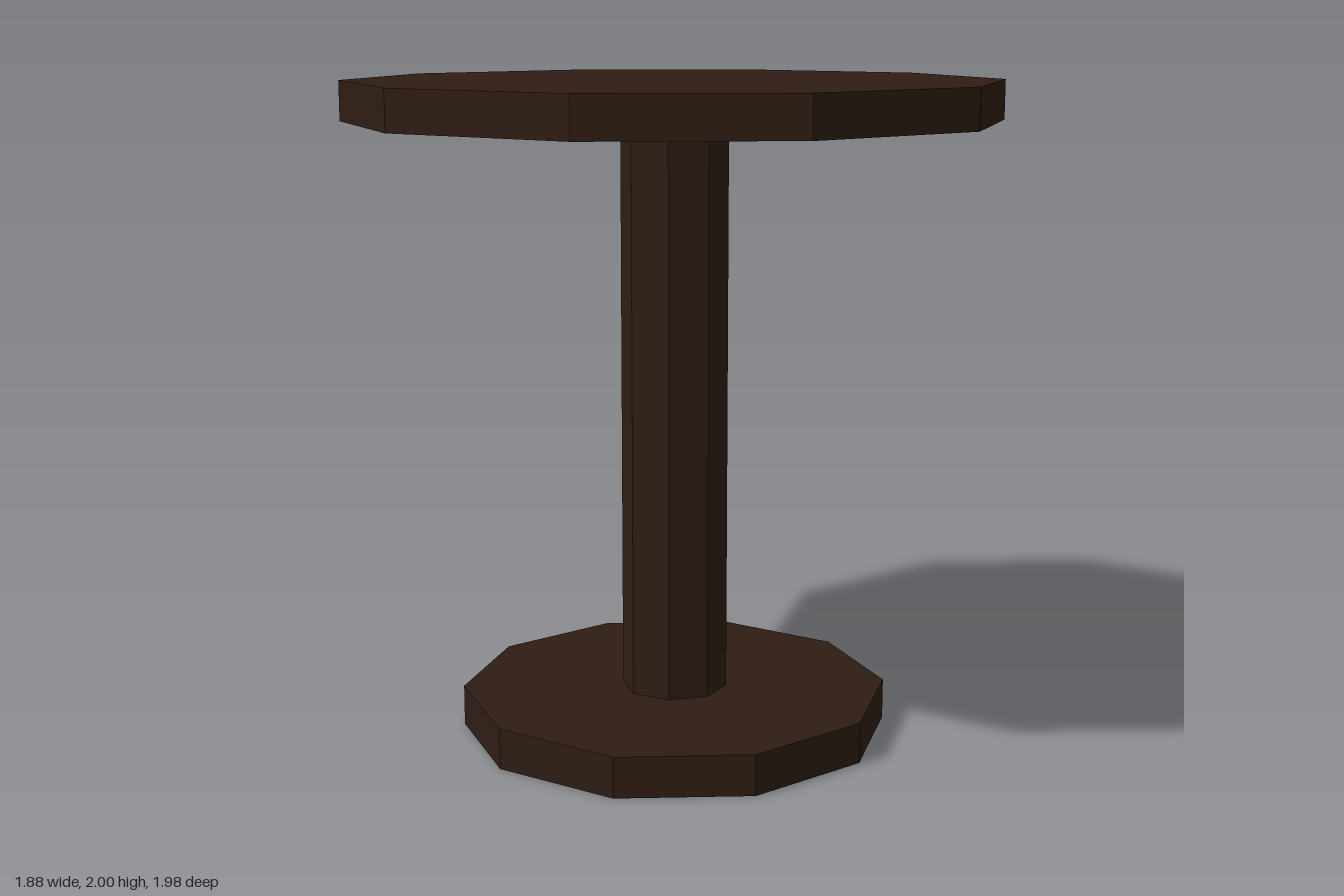
import * as THREE from 'three';

export function createModel() {
  const model = new THREE.Group();
  model.name = 'pedestalTable';
  const wood = new THREE.MeshStandardMaterial({ color: 0x2e1d14, flatShading: true });

  // Upright prism with a corner facing the front
  const addPrism = (name, radius, bottom, top, sides) => {
    const mesh = new THREE.Mesh(new THREE.CylinderGeometry(radius, radius, top - bottom, sides), wood);
    mesh.name = name;
    mesh.position.y = (bottom + top) / 2;
    model.add(mesh);
  };

  addPrism('base', 0.66, 0, 0.125, 10);
  // The column stops just short of the tabletop
  addPrism('column', 0.163, 0.12, 1.857, 8);
  addPrism('tabletop', 0.99, 1.88, 2, 10);

  return model;
}
